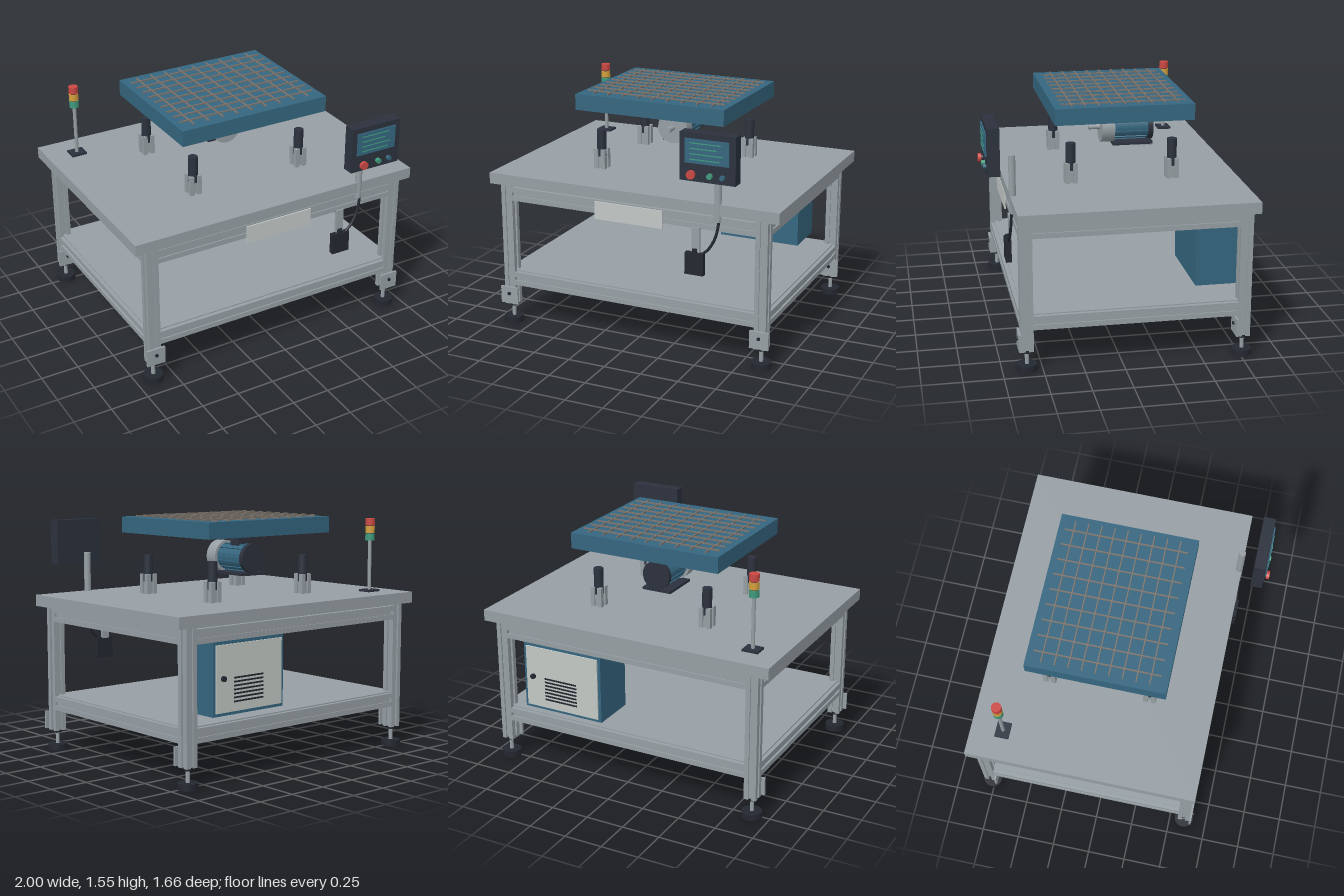
import * as THREE from 'three';

const mat = (name, color) => new THREE.MeshStandardMaterial({ name, color });

export function createModel() {
  const steel = mat('steel grey', 0x969fa4);
  const pale = mat('pale panel', 0xc2c8c5);
  const navy = mat('dark navy', 0x2b313d);
  const black = mat('black rubber', 0x23272f);
  const blue = mat('machine blue', 0x35667f);
  const red = mat('signal red', 0xca4843);
  const amber = mat('signal amber', 0xd3a03c);
  const green = mat('signal green', 0x3f9a7c);
  const wire = mat('wire bronze', 0x7d746d);

  const model = new THREE.Group();
  model.name = 'workbench';

  const add = (name, geo, material, x, y, z, parent = model) => {
    const mesh = new THREE.Mesh(geo, material);
    mesh.name = name;
    mesh.position.set(x, y, z);
    parent.add(mesh);
    return mesh;
  };
  // box given by its minimum and maximum on each axis
  const box = (name, m, x0, x1, y0, y1, z0, z1, parent) =>
    add(name, new THREE.BoxGeometry(x1 - x0, y1 - y0, z1 - z0), m,
      (x0 + x1) / 2, (y0 + y1) / 2, (z0 + z1) / 2, parent);
  // upright cylinder between two heights
  const post = (name, m, r, x, y0, y1, z, parent, sides = 24) =>
    add(name, new THREE.CylinderGeometry(r, r, y1 - y0, sides), m, x, (y0 + y1) / 2, z, parent);
  // cylinder lying along z
  const drum = (name, m, r, x, y, z0, z1, parent, sides = 32) => {
    const geo = new THREE.CylinderGeometry(r, r, z1 - z0, sides).rotateX(Math.PI / 2);
    return add(name, geo, m, x, y, (z0 + z1) / 2, parent);
  };

  // slotted aluminium bar, centred, running along z
  const slotted = (size, length) => {
    const h = size / 2, m = h * 0.26, t = h * 0.2, c = h * 0.45, d = h * 0.48;
    const side = [[h, -h], [h, -m], [h - t, -m], [h - t, -c], [h - d, -c],
      [h - d, c], [h - t, c], [h - t, m], [h, m]];
    const points = [];
    for (let i = 0; i < 4; i++) {
      for (const [x, y] of side) {
        points.push(new THREE.Vector2(x, y).rotateAround(new THREE.Vector2(), i * Math.PI / 2));
      }
    }
    const geo = new THREE.ExtrudeGeometry(new THREE.Shape(points), { depth: length, bevelEnabled: false });
    return geo.translate(0, 0, -length / 2);
  };

  // worktop and lower shelf
  box('worktop', steel, -1, 1, 0.962, 1.035, -0.83, 0.65);
  box('lowerShelf', steel, -0.9, 0.9, 0.358, 0.37, -0.78, 0.61);

  // legs with levelling feet
  const legX = 0.885, zFront = 0.597, zBack = -0.766;
  for (const x of [-legX, legX]) {
    for (const z of [zFront, zBack]) {
      const leg = new THREE.Group();
      leg.name = 'leg';
      leg.position.set(x, 0, z);
      model.add(leg);
      add('legBar', slotted(0.08, 0.832).rotateX(Math.PI / 2), steel, 0, 0.546, 0, leg);
      post('footPad', black, 0.063, 0, 0, 0.04, 0, leg, 32);
      post('footStem', steel, 0.013, 0, 0.04, 0.14, 0, leg, 16);
      post('footNut', black, 0.024, 0, 0.112, 0.13, 0, leg, 6);
      box('footBracket', steel, -0.063, 0.063, 0.14, 0.255, 0.04, 0.054, leg);
      drum('bracketBolt', black, 0.011, 0, 0.21, 0.054, 0.064, leg, 12);
    }
  }

  // upper and lower rails
  const zMid = (zFront + zBack) / 2, zSpan = zFront - zBack - 0.08;
  for (const y of [0.905, 0.318]) {
    for (const z of [zFront, zBack]) {
      add('longRail', slotted(0.09, 1.69).rotateY(Math.PI / 2), steel, 0, y, z).scale.z = 0.89;
    }
    for (const x of [-legX, legX]) {
      add('sideRail', slotted(0.09, zSpan), steel, x, y, zMid).scale.x = 0.89;
    }
  }
  box('frontPanel', pale, -0.235, 0.232, 0.825, 0.942, 0.638, 0.647);

  // support posts on the worktop
  for (const x of [-0.39, 0.39]) {
    for (const z of [0.24, -0.41]) {
      add('supportPost', slotted(0.08, 0.13).rotateX(Math.PI / 2), steel, x, 1.1, z);
      post('supportPin', navy, 0.031, x, 1.115, 1.29, z);
    }
  }

  // tray with its wire grid
  box('tray', blue, -0.517, 0.515, 1.436, 1.54, -0.525, 0.354);
  for (let i = -4; i <= 4; i++) {
    const x = i * 0.103, z = -0.091 + i * 0.0838;
    box('crossWire', wire, x - 0.004, x + 0.004, 1.54, 1.549, -0.485, 0.303);
    box('longWire', wire, -0.48, 0.48, 1.543, 1.552, z - 0.004, z + 0.004);
  }

  // motor
  const motor = new THREE.Group();
  motor.name = 'motor';
  model.add(motor);
  const my = 1.283;
  drum('motorShaft', steel, 0.018, 0, my, -0.02, 0.06, motor);
  drum('motorFlange', steel, 0.103, 0, my, -0.1, -0.015, motor, 40);
  drum('motorBody', blue, 0.084, 0, my, -0.33, -0.1, motor, 40);
  drum('motorCover', navy, 0.094, 0, my, -0.357, -0.325, motor, 40);
  for (let i = 0; i < 12; i++) {
    const fin = add('coolingFin', new THREE.BoxGeometry(0.008, 0.012, 0.21), blue, 0, 0, -0.212, motor);
    const a = (i + 0.5) * Math.PI / 6;
    fin.position.set(Math.sin(a) * 0.085, my + Math.cos(a) * 0.085, -0.212);
    fin.rotation.z = -a;
  }
  box('terminalBox', navy, -0.036, 0.036, 1.355, 1.408, -0.252, -0.175, motor);
  box('motorBase', navy, -0.1, 0.1, 1.175, 1.192, -0.35, -0.085, motor);

  // signal tower
  const tx = -0.803, tz = -0.624;
  box('towerBase', navy, tx - 0.052, tx + 0.052, 1.035, 1.049, tz - 0.045, tz + 0.045);
  post('towerPole', steel, 0.012, tx, 1.049, 1.378, tz);
  post('towerCore', navy, 0.026, tx, 1.378, 1.515, tz);
  [green, amber, red].forEach((m, i) =>
    post('signalLamp', m, 0.031, tx, 1.376 + i * 0.05, 1.421 + i * 0.05, tz));

  // control console
  const panel = new THREE.Group();
  panel.name = 'controlConsole';
  model.add(panel);
  box('consoleBody', navy, 0.42, 0.776, 1.212, 1.508, 0.722, 0.798, panel);
  box('screen', blue, 0.456, 0.736, 1.325, 1.473, 0.798, 0.807, panel);
  [0.2, 0.17, 0.21, 0.19].forEach((w, i) => {
    const y = 1.448 - i * 0.033;
    box('screenBar', green, 0.488, 0.488 + w, y - 0.003, y + 0.003, 0.807, 0.81, panel);
  });
  drum('stopCollar', navy, 0.02, 0.5, 1.257, 0.798, 0.81, panel);
  drum('stopButton', red, 0.027, 0.5, 1.257, 0.81, 0.83, panel);
  drum('startButton', green, 0.017, 0.616, 1.257, 0.798, 0.82, panel);
  drum('modeButton', blue, 0.015, 0.696, 1.257, 0.798, 0.818, panel);
  post('consolePole', steel, 0.022, 0.6, 0.92, 1.292, 0.634);

  // pedal box hanging at the front, with its cable
  box('hangerBar', steel, 0.432, 0.486, 0.7, 0.868, 0.63, 0.648);
  box('switchBox', black, 0.396, 0.52, 0.567, 0.708, 0.637, 0.673);
  post('switchKnob', black, 0.016, 0.457, 0.708, 0.732, 0.655);
  const cable = new THREE.CatmullRomCurve3([
    [0.5, 0.7, 0.655], [0.545, 0.74, 0.652], [0.585, 0.81, 0.648], [0.602, 0.87, 0.645], [0.61, 0.93, 0.643],
  ].map((p) => new THREE.Vector3(...p)));
  add('cable', new THREE.TubeGeometry(cable, 24, 0.009, 10), black, 0, 0, 0);

  // electrical cabinet with rear door
  box('cabinet', blue, 0.155, 0.722, 0.41, 0.86, -0.802, -0.5);
  box('cabinetDoor', pale, 0.175, 0.702, 0.43, 0.84, -0.811, -0.802);
  drum('doorKnob', black, 0.017, 0.65, 0.637, -0.828, -0.811);
  for (let i = 0; i < 7; i++) {
    const y = 0.49 + i * 0.024;
    box('vent', black, 0.33, 0.565, y - 0.005, y + 0.005, -0.815, -0.81);
  }

  return model;
}
